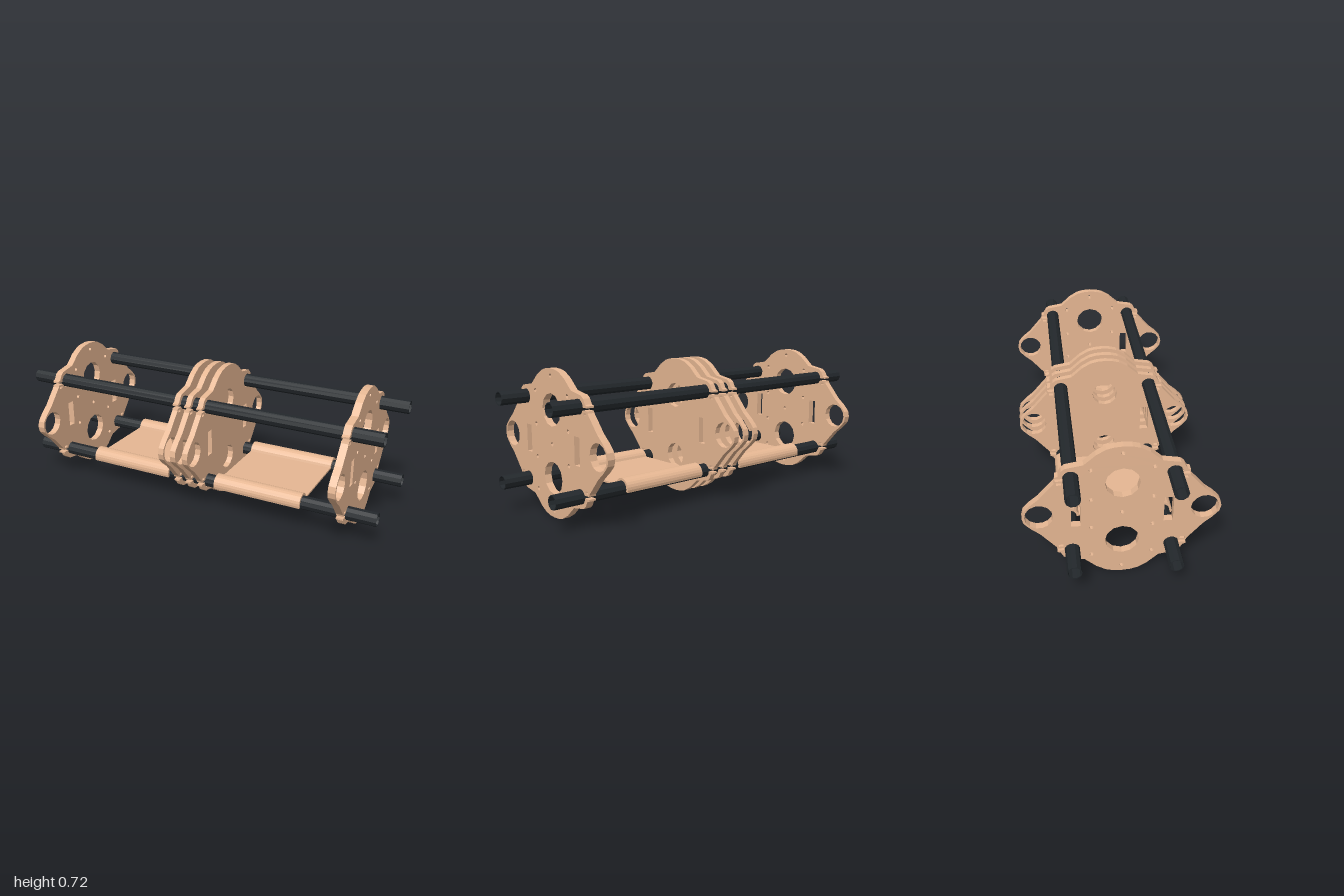
import * as THREE from 'three';

const tan = new THREE.MeshStandardMaterial({ color: 0xe6b793, flatShading: true });
const black = new THREE.MeshStandardMaterial({ color: 0x23282c, flatShading: true });

const MID = 0.365;                    // height of the plates' centre
const ROD = { z: 0.232, dy: 0.208 };  // rod offsets from that centre

// Points on an arc, from angle a to angle b
function arc(cx, cy, r, a, b, n) {
  return Array.from({ length: n + 1 }, (_, i) => {
    const t = a + (b - a) * i / n;
    return new THREE.Vector2(cx + r * Math.cos(t), cy + r * Math.sin(t));
  });
}

const circle = (x, y, r, n) => new THREE.Path(arc(x, y, r, 0, Math.PI * 2, n).slice(0, n));

function rect(x, y, w, h) {
  return new THREE.Path([[-1, -1], [1, -1], [1, 1], [-1, 1]]
    .map(([a, b]) => new THREE.Vector2(x + a * w / 2, y + b * h / 2)));
}

// Extrude a (z, y) cross-section along x, centred on x = 0
function extrudeX(shape, depth) {
  const g = new THREE.ExtrudeGeometry(shape, { depth, bevelEnabled: false });
  g.translate(0, 0, -depth / 2);
  g.rotateY(Math.PI / 2);
  return g;
}

// Plate with split rod clamps, mirrored from one quadrant
function plateGeometry(depth, bore, screws) {
  const quad = [
    [0, 0.362], [0.04, 0.359], [0.075, 0.35], [0.12, 0.324], [0.15, 0.297], [0.175, 0.275],
    [0.215, 0.268], [0.256, 0.261], [0.273, 0.248], [0.287, 0.222], [0.302, 0.217], [0.302, 0.208],
  ].map(p => new THREE.Vector2(...p));
  quad.push(...arc(ROD.z, ROD.dy, 0.037, 0, Math.PI * 2 - 0.36, 14));
  quad.push(...[
    [0.302, 0.195], [0.305, 0.185], [0.342, 0.142], [0.378, 0.1], [0.415, 0.069],
    [0.438, 0.045], [0.45, 0.03], [0.457, 0],
  ].map(p => new THREE.Vector2(...p)));
  const flip = (pts, sx, sy) => pts.map(p => new THREE.Vector2(p.x * sx, p.y * sy));
  const outline = [
    ...quad,
    ...flip(quad, 1, -1).reverse().slice(1),
    ...flip(quad, -1, -1).slice(1),
    ...flip(quad, -1, 1).reverse().slice(1, -1),
  ];
  const shape = new THREE.Shape(outline);
  for (const s of [-1, 1]) {
    shape.holes.push(circle(0, s * 0.165, bore, 12));
    shape.holes.push(circle(s * 0.38, 0, 0.065, 14));
    shape.holes.push(rect(s * 0.213, 0, 0.043, 0.136));
    for (const t of [-1, 1]) shape.holes.push(rect(s * 0.284, t * 0.179, 0.022, 0.012));
  }
  if (screws) {
    const spots = [[0, 0.327], [0, 0], [0, -0.327]];
    for (const s of [-1, 1]) for (const y of [0.245, 0.081, -0.081, -0.245]) spots.push([s * 0.142, y]);
    for (const [z, y] of spots) shape.holes.push(circle(z, y, 0.011, 6));
  }
  return extrudeX(shape, depth);
}

// Flat tray whose long edges hook over the two lower rods
function trayGeometry(length) {
  const y = MID - ROD.dy, z = ROD.z, R = 0.048, r = 0.036, PI = Math.PI;
  return extrudeX(new THREE.Shape([
    ...arc(z, y, R, -0.36, PI - 0.2, 12),
    ...arc(-z, y, R, 0.2, PI + 0.36, 12),
    ...arc(-z, y, r, PI + 0.36, 0, 12),
    ...arc(z, y, r, PI, -0.36, 12),
  ]), length);
}

// Hollow rod running along x
function rodGeometry() {
  const ro = 0.035, ri = 0.031;
  const profile = [[ri, -1], [ro, -1], [ro, 1], [ri, 1], [ri, -1]].map(p => new THREE.Vector2(...p));
  const g = new THREE.LatheGeometry(profile, 10);
  g.rotateZ(Math.PI / 2);
  return g;
}

export function createModel() {
  const model = new THREE.Group();
  const add = (geometry, material, name, x, y, z) => {
    const mesh = new THREE.Mesh(geometry, material);
    mesh.name = name;
    mesh.position.set(x, y, z);
    model.add(mesh);
  };

  // End plates
  const endPlate = plateGeometry(0.037, 0.08, true);
  add(endPlate, tan, 'rightEndPlate', -0.828, MID, 0);
  add(endPlate, tan, 'leftEndPlate', 0.832, MID, 0);

  // Three plates in the middle
  const middlePlate = plateGeometry(0.03, 0.065, false);
  for (const x of [-0.067, 0.001, 0.07]) add(middlePlate, tan, 'middlePlate', x, MID, 0);

  // Four long rods
  const rod = rodGeometry();
  black.side = THREE.DoubleSide;
  for (const sy of [-1, 1]) for (const sz of [-1, 1]) {
    add(rod, black, (sy > 0 ? 'upper' : 'lower') + (sz > 0 ? 'Front' : 'Back') + 'Rod',
      0, MID + sy * ROD.dy, sz * ROD.z);
  }

  // Trays between the plates
  const tray = trayGeometry(0.477);
  add(tray, tan, 'rightTray', -0.372, 0, 0);
  add(tray, tan, 'leftTray', 0.379, 0, 0);

  return model;
}
